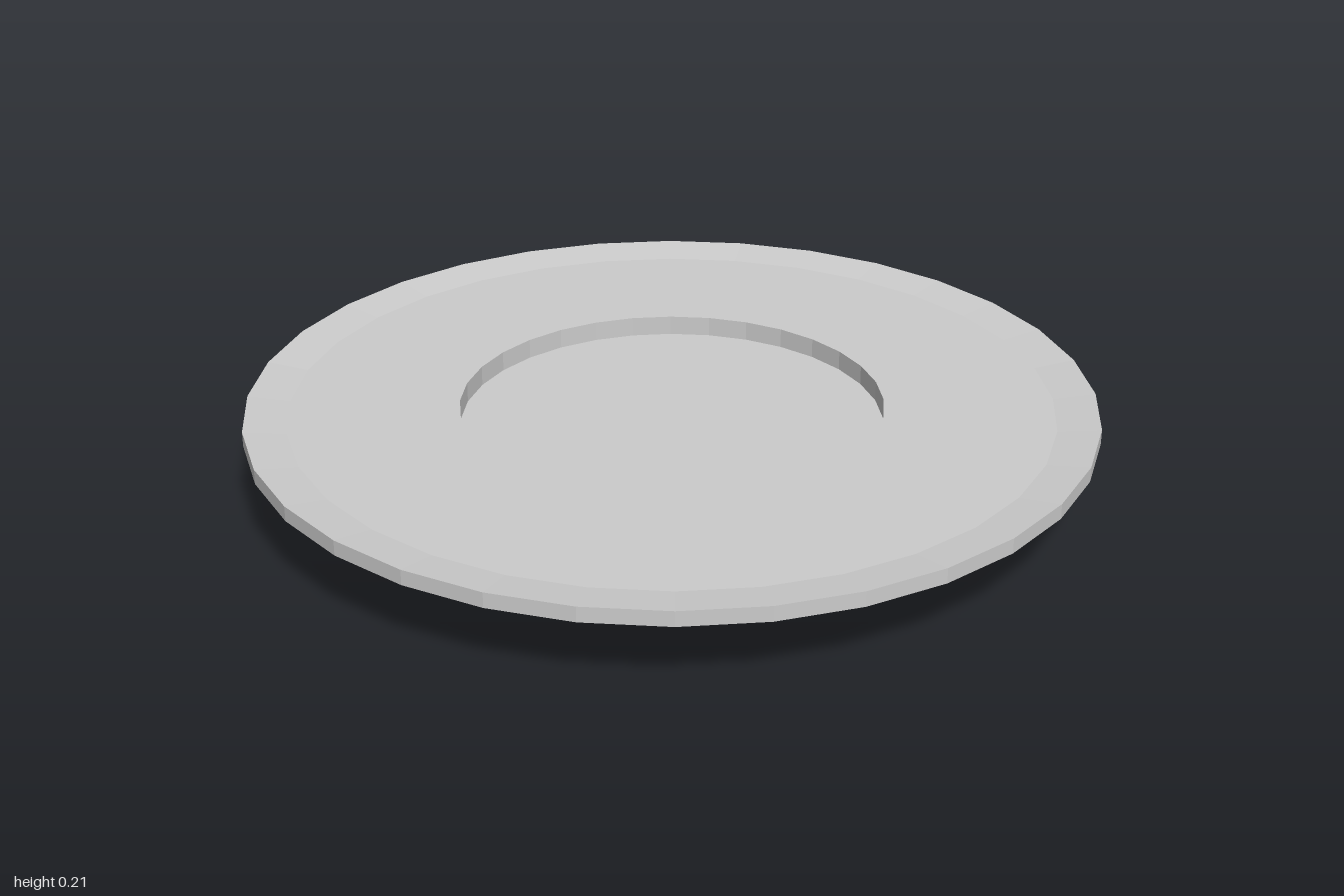
import * as THREE from 'three';

const SIDES = 32;

export function createModel() {
  const group = new THREE.Group();
  const material = new THREE.MeshStandardMaterial({ color: 0xcccccc, flatShading: true });

  // Each part is a turned profile of [radius, height], running outward below and inward above
  const turn = (name, profile) => {
    const points = profile.map(([r, y]) => new THREE.Vector2(r, y));
    const mesh = new THREE.Mesh(new THREE.LatheGeometry(points, SIDES), material);
    mesh.name = name;
    group.add(mesh);
  };

  // Blind socket and the short foot ring around it
  turn('hub', [[0, 0.065], [0.158, 0.065], [0.158, 0], [0.238, 0], [0.238, 0.03]]);
  // Shallow cone under the dish
  turn('underside', [[0.238, 0.03], [1, 0.173]]);
  // Outer edge with a lip sloping gently inward
  turn('rim', [[1, 0.173], [1, 0.209], [0.9, 0.196]]);
  // Flat ring around the recess
  turn('topRing', [[0.9, 0.196], [0.5, 0.196]]);
  // Round well in the middle
  turn('recess', [[0.5, 0.196], [0.5, 0.148], [0, 0.148]]);

  return group;
}
